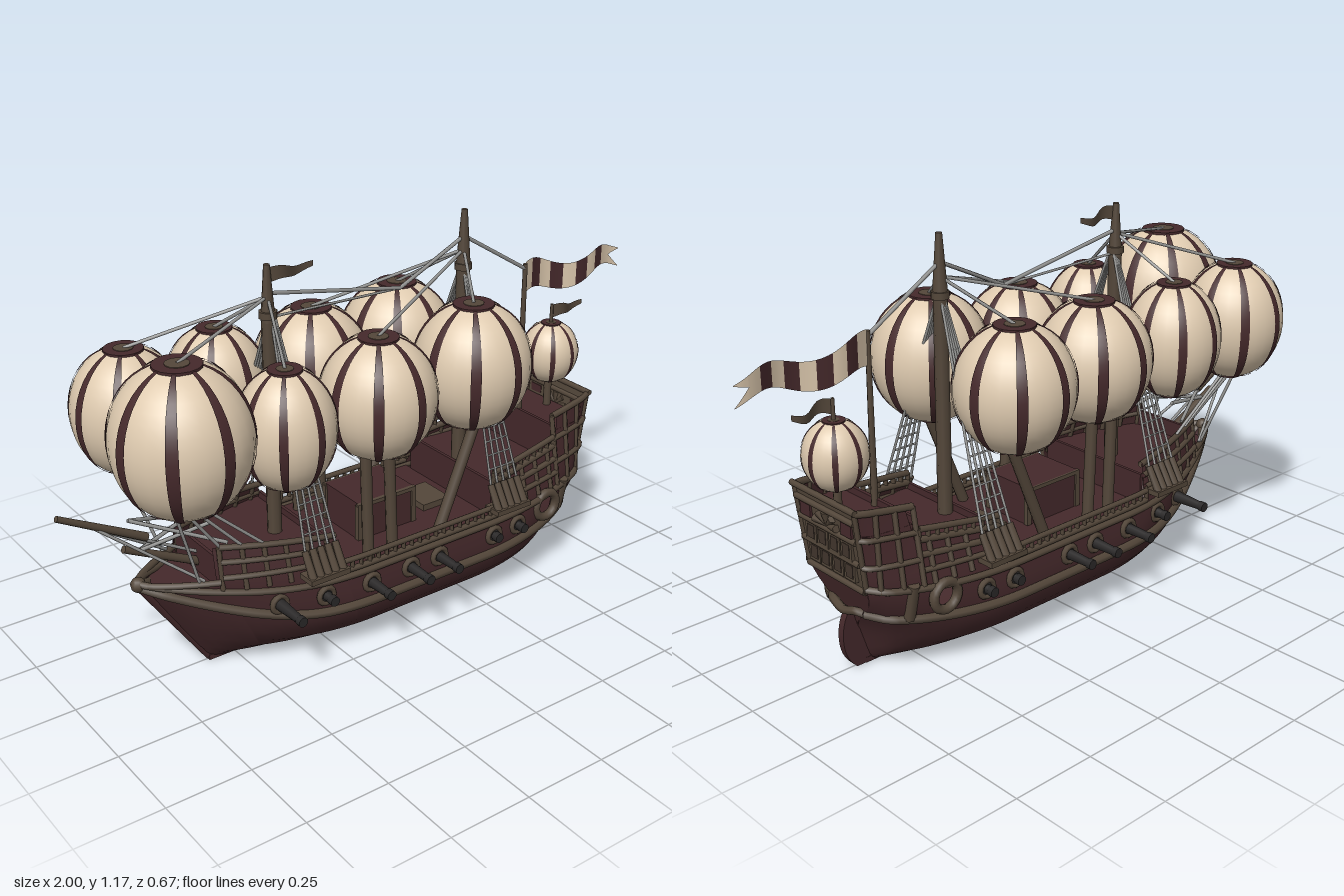
import * as THREE from 'three';

const mat = (name, color, side = THREE.FrontSide) => {
  const m = new THREE.MeshStandardMaterial({ color, side });
  m.name = name;
  return m;
};
const maroon = mat('maroon planks', 0x45292b, THREE.DoubleSide);
const wood = mat('brown wood', 0x54473a, THREE.DoubleSide);
const darkWood = mat('dark wood', 0x41352d);
const cream = mat('cream cloth', 0xdfcbb0, THREE.DoubleSide);
const rope = mat('grey rope', 0x949492);
const iron = mat('black iron', 0x2a2828);

const V = (x, y, z) => new THREE.Vector3(x, y, z);
const clamp = (t) => Math.min(1, Math.max(0, t));
const lerp = THREE.MathUtils.lerp;

// Hull lines: half width by height, ends by height, plan by station u (0 bow, 1 stern)
const widths = [[0, .02], [.012, .075], [.03, .132], [.06, .182], [.1, .218], [.15, .237], [.2, .24], [.3, .225], [.4, .19], [.54, .155], [.7, .15]];
function section(y) {
  const i = Math.max(1, widths.findIndex((p) => p[0] >= y));
  const [a, b] = [widths[i - 1], widths[i]];
  return lerp(a[1], b[1], clamp((y - a[0]) / (b[0] - a[0])));
}
const bowX = (y) => -.585 - .64 * Math.min(y, .33);
const sternX = (y) => (y < .3 ? .62 + .3 * y : .71 + .13 * (y - .3));
const uAt = (x, y) => clamp((x - bowX(y)) / (sternX(y) - bowX(y)));
function halfWidth(u, y) {
  const end = .55 * THREE.MathUtils.smoothstep(y, .1, .28) + 1.2 * Math.max(0, y - .3);
  const s = clamp((u - .68) / .32);
  const bow = Math.sin(Math.PI / 2 * Math.min(1, u / .4)) ** .75;
  return section(y) * bow * (end + (1 - end) * Math.sqrt(1 - s * s));
}
const hullPoint = (u, y, side, out = 0) => V(lerp(bowX(y), sternX(y), u), y, side * (halfWidth(u, y) + out));
const sideAt = (x, y, side, out = 0) => hullPoint(uAt(x, y), y, side, out);
const sweep = (u) => Math.max(0, 1 - u / .3) ** 2;
const rise = (u) => Math.max(0, (u - .7) / .3) ** 2;
const wale = (u) => .167 + .143 * sweep(u) + .03 * rise(u);
const strake = (u) => .265 + .06 * sweep(u) + .035 * rise(u);
// Top edge of the planking, in four stepped lengths: x start, x end, height start, height end
const tops = [[-.79, -.6, .32, .32], [-.595, -.27, .42, .388], [-.265, .3, .285, .285], [.305, .565, .38, .415], [.57, .74, .508, .53]];
function topY(x) {
  const t = tops.find((p) => x <= p[1] + .0026) || tops[4];
  return lerp(t[2], t[3], clamp((x - t[0]) / (t[1] - t[0])));
}

// Grid surface from a point rule; skip leaves cells open
function surface(cols, rows, point, skip = () => false) {
  const pos = [], idx = [], n = rows.length;
  cols.forEach((c) => rows.forEach((r) => pos.push(...point(c, r).toArray())));
  for (let i = 0; i < cols.length - 1; i++) for (let j = 0; j < n - 1; j++) {
    if (skip((cols[i] + cols[i + 1]) / 2, j)) continue;
    const a = i * n + j, b = a + n;
    idx.push(a, b, a + 1, b, b + 1, a + 1);
  }
  const g = new THREE.BufferGeometry();
  g.setAttribute('position', new THREE.Float32BufferAttribute(pos, 3));
  g.setIndex(idx);
  g.computeVertexNormals();
  return g;
}
const range = (a, b, n) => Array.from({ length: n + 1 }, (_, i) => lerp(a, b, i / n));

// Unit balloon outline, swept over part of a turn
const gore = (scale, start, length, segments) => new THREE.LatheGeometry(range(-1.37, 1.26, 18).map((t) =>
  new THREE.Vector2(scale * Math.cos(t) ** .95, scale * Math.sin(t))), segments, start, length);

export function createModel() {
  const root = new THREE.Group();
  root.name = 'balloonShip';
  const add = (name, geo, material, pos, parent = root) => {
    const m = new THREE.Mesh(geo, material);
    m.name = name;
    if (pos) m.position.copy(pos);
    parent.add(m);
    return m;
  };
  const box = (name, w, h, d, x, y, z, m) => add(name, new THREE.BoxGeometry(w, h, d), m, V(x, y, z));
  const bar = (name, a, b, r0, r1, m, sides = 8) => {
    const mesh = add(name, new THREE.CylinderGeometry(r1, r0, a.distanceTo(b), sides), m, a.clone().lerp(b, .5));
    mesh.quaternion.setFromUnitVectors(V(0, 1, 0), b.clone().sub(a).normalize());
    return mesh;
  };
  const line = (a, b, r = .004) => bar('rope', a, b, r, r, rope, 5);
  const tube = (name, pts, r, m) => add(name, new THREE.TubeGeometry(new THREE.CatmullRomCurve3(pts), pts.length * 2, r, 6), m);

  // Planking, with one open round window per side
  const hx = [.482, .538].map((x) => uAt(x, .245));
  const cols = [...range(0, 1, 50), ...hx, ...tops.flatMap((t) => [uAt(t[0], .3), uAt(t[1], .3)])].sort((a, b) => a - b);
  const low = [0, .04, .1, .2, .36, .58, .8, 1], high = [.217, .273, .33, .4, 9];
  const rowIds = range(0, low.length + high.length - 1, low.length + high.length - 1);
  const rowY = (u, j) => (j < low.length ? low[j] * wale(u)
    : Math.max(wale(u), Math.min(topY(lerp(-.777, .71, u)), high[j - low.length])));
  for (const s of [1, -1]) {
    add('hullSide', surface(cols, rowIds, (u, j) => hullPoint(u, rowY(u, j), s),
      (u, j) => j === low.length && u > hx[0] && u < hx[1]), maroon);
    for (const [name, f, r] of [['wale', wale, .015], ['upperStrake', strake, .011]])
      tube(name, range(0, 1, 40).map((u) => hullPoint(u, f(u), s, .002)), r, wood);
    add('roundWindowFrame', new THREE.TorusGeometry(.041, .014, 8, 20), wood, sideAt(.51, .245, s, .003));
    bar('quarterPillar', sideAt(.6, .19, s, .002), sideAt(.6, .3, s, .002), .017, .017, wood);

    // Cap rails and side panelling; the waist and quarterdeck carry balusters
    tops.forEach(([x0, x1, y0, y1], k) => {
      const n = Math.round((x1 - x0) / .03);
      const pts = range(0, 1, n).map((t) => sideAt(lerp(x0, x1, t), lerp(y0, y1, t), s, .002));
      tube('capRail', pts, .01, wood);
      if (k === 2 || k === 3) {
        const up = pts.map((p) => p.clone().add(V(0, .03, 0)));
        tube('handRail', up, .009, wood);
        pts.forEach((p, i) => bar('baluster', p, up[i], .007, .007, wood, 5));
      }
      if (k === 0 || k === 2) return;
      for (const f of [.33, .67])
        tube('panelMoulding', pts.map((p) => sideAt(p.x, lerp(.29, p.y, f), s, .002)), .009, wood);
      pts.forEach((p, i) => i % 2 || bar('sideRib', sideAt(p.x, .29, s, .002), p, .008, .008, wood, 5));
    });

    // Guns and their ports; some run out, some drawn in
    for (const [x, reach] of [[-.45, .3], [-.32, .265], [-.175, .333], [-.035, .333], [.07, .333], [.28, .265], [.38, .265]]) {
      const p = sideAt(x, .225, s, .002);
      add('gunPort', new THREE.TorusGeometry(.024, .009, 6, 12), wood, p);
      add('gunPortLid', new THREE.CylinderGeometry(.024, .024, .008, 12), iron, p).rotation.x = Math.PI / 2;
      bar('gunBarrel', V(x, .225, s * .18), V(x, .225, s * (reach - .01)), .018, .012, iron, 10);
      bar('gunMuzzle', V(x, .225, s * (reach - .018)), V(x, .225, s * reach), .015, .015, iron, 10);
    }

    // Channels, deadeyes and shrouds beside each mast
    for (const mx of [-.335, .33]) {
      box('channel', .13, .016, .06, mx, .312, s * .24, wood);
      const foot = range(-.05, .05, 4).map((d) => V(mx + d, .385, s * .215));
      const head = range(-.006, .006, 4).map((d) => V(mx + d, .99, s * .01));
      foot.forEach((p, i) => {
        bar('deadeye', V(p.x, .315, s * .255), p, .012, .01, wood, 6);
        line(p, head[i]);
      });
      for (const t of range(.07, .85, 12)) line(foot[0].clone().lerp(head[0], t), foot[4].clone().lerp(head[4], t), .003);
    }

    // Struts carrying the middle balloons
    for (const [xa, xb, yb] of [[-.145, -.155, .62], [-.06, -.075, .62], [.11, .245, .6]])
      bar('balloonStrut', V(xa, .27, s * .18), V(xb, yb, s * .18), .017, .017, wood);
  }

  // Decks and the walls between them
  for (const [x0, x1, y] of [[-.74, -.6, .3], [-.6, -.27, .34], [-.27, .3, .268], [.3, .57, .36], [.57, .725, .46]])
    add('deck', surface(range(x0, x1, 12), [-1, 1], (x, s) => sideAt(x, y, s)), maroon);
  for (const [x, y0, y1] of [[-.598, .3, .39], [-.268, .268, .36], [.303, .268, .38], [.57, .36, .48]])
    box('bulkhead', .01, y1 - y0, 2 * sideAt(x, y1, 1).z, x, (y0 + y1) / 2, 0, maroon);
  box('deckHouse', .2, .118, .17, -.01, .327, 0, maroon);
  for (const z of [-.085, .085]) box('deckHouseEave', .21, .012, .012, -.01, .38, z, wood);
  for (const x of [-.108, .088]) for (const z of [-.083, .083]) box('deckHousePost', .016, .11, .016, x, .325, z, wood);
  box('hatch', .1, .02, .12, .2, .28, 0, wood);

  // Transom with two rows of windows
  const cap = (y0, y1, n) => surface(range(y0, y1, n), [1, -1], (y, s) => hullPoint(1, y, s));
  add('sternCounter', cap(0, .29, 12), maroon);
  add('transom', cap(.29, .535, 6), wood);
  tube('sternArch', [hullPoint(1, .197, 1), V(.69, .2, .05), V(.695, .188, 0), V(.69, .2, -.05), hullPoint(1, .197, -1)], .013, wood);
  for (const y of [.343, .407]) for (const z of [-.078, -.026, .026, .078]) {
    const x = sternX(y);
    box('sternWindowFrame', .012, .056, .047, x + .002, y, z, wood);
    box('sternWindow', .008, .038, .03, x + .006, y, z, darkWood);
  }
  for (const [y, w] of [[.292, .25], [.375, .25], [.442, .25], [.5, .26], [.535, .28]])
    bar('transomMoulding', V(sternX(y) + .003, y, -w / 2), V(sternX(y) + .003, y, w / 2), .009, .009, wood);
  for (const z of [-.09, .09]) box('sternPanel', .008, .036, .045, sternX(.47) + .003, .47, z, maroon);
  for (const a of range(.2, Math.PI - .2, 4))
    bar('sternCrest', V(sternX(.45) + .004, .452, 0), V(sternX(.47) + .006, .452 + .04 * Math.sin(a), .05 * Math.cos(a)), .004, .012, wood, 6);

  // Stem, keel, rudder
  bar('stem', V(-.58, .008, 0), V(-.79, .325, 0), .01, .014, maroon);
  add('figurehead', new THREE.SphereGeometry(.022, 10, 8), wood, V(-.785, .318, 0));
  box('keel', 1.22, .016, .024, .025, .009, 0, maroon);
  const r = new THREE.Shape().moveTo(.58, .002).lineTo(.665, .002);
  r.quadraticCurveTo(.71, .04, .708, .11).quadraticCurveTo(.705, .17, .67, .195).lineTo(.58, .195);
  add('rudder', new THREE.ExtrudeGeometry(r, { depth: .022, bevelEnabled: false }), maroon, V(0, 0, -.011));

  // Masts, pole and bowsprit
  const masts = [[-.345, 1.14], [.33, 1.17]];
  for (const [x, y] of masts) {
    bar('mast', V(x, .26, 0), V(x, y - .15, 0), .022, .02, wood);
    bar('topMast', V(x, y - .16, 0), V(x, y, 0), .021, .009, wood);
    add('mastBand', new THREE.CylinderGeometry(.026, .026, .02, 10), wood, V(x, 1, 0));
  }
  bar('flagPole', V(.575, .46, 0), V(.575, .955, 0), .01, .007, wood);
  bar('bowsprit', V(-.52, .29, 0), V(-.82, .44, 0), .014, .011, wood);
  bar('jibBoom', V(-.75, .455, 0), V(-1, .59, 0), .013, .009, wood);
  for (const s of [1, -1]) {
    line(V(-.8, .52, 0), V(-.56, .42, s * .1), .006);
    line(V(-.78, .42, 0), V(-.58, .46, s * .04), .006);
    line(V(-.9, .53, 0), sideAt(-.64, .33, s), .005);
  }
  line(V(-.98, .575, 0), V(-.6, .36, 0), .005);

  // Stays
  line(V(-.345, 1.06, 0), V(.1, .98, 0), .006);
  line(V(.1, .98, 0), V(.33, 1.09, 0), .006);
  line(V(-.345, .99, 0), V(.1, .98, 0));
  line(V(.33, 1.09, 0), V(.575, .94, 0), .006);

  // Balloons: x, centre height, z, radius, half height
  const balloon = ([x, y, z, rad, ry]) => {
    const g = new THREE.Group();
    g.name = 'balloon';
    g.position.set(x, y, z);
    g.scale.set(rad, ry, rad);
    root.add(g);
    add('envelope', gore(1, 0, Math.PI * 2, 32), cream, null, g);
    for (let i = 0; i < 8; i++) add('stripe', gore(1.018, i * Math.PI / 4 + .07, .175, 3), maroon, null, g);
    for (const [h, wide] of [[.965, .35], [-.985, .24]]) {
      add('cap', new THREE.CylinderGeometry(wide, wide, .035, 16), maroon, V(0, h, 0), g);
      add('capDisc', new THREE.CylinderGeometry(wide / 2, wide / 2, .03, 12), wood, V(0, h * 1.012, 0), g);
    }
  };
  const balloons = [
    [-.69, .773, .118, .19, .214], [-.69, .75, -.176, .157, .182],
    [-.402, .742, .165, .136, .174], [-.41, .75, -.178, .146, .177],
    [-.083, .743, .142, .166, .181], [-.107, .748, -.148, .171, .182],
    [.238, .765, .16, .171, .19], [.212, .75, -.165, .171, .184],
  ];
  for (const b of balloons) {
    balloon(b);
    const [x, y, z, , ry] = b;
    const m = masts[x < -.2 ? 0 : 1];
    line(V(m[0], 1.05, 0), V(x, y + ry * .98, z), .005);
    // The bow pair is held down by mooring lines
    if (x < -.6) for (const d of [-.08, -.02, .04, .1])
      line(V(x + d * .4, y - ry * .96, z), sideAt(x + d + .12, topY(x + d + .12), Math.sign(z)), .005);
  }
  balloon([.695, .643, 0, .089, .099]);
  bar('sternBalloonPost', V(.695, .46, 0), V(.695, .56, 0), .012, .012, wood);
  bar('sternFlagPole', V(.695, .73, 0), V(.695, .8, 0), .006, .005, wood);

  // Striped streamer with a forked end, and two pennants
  const wave = (t) => V(.58 + .418 * t, .895 + .018 * Math.sin(t * 9 + .9), .018 * Math.sin(t * 9 + 2.6) - .012);
  for (let i = 0; i < 9; i++)
    add('streamerStripe', surface(range(i / 10, (i + 1) / 10, 4), [-1, 1],
      (t, s) => wave(t).add(V(0, s * lerp(.05, .028, t), 0))), i % 2 ? maroon : cream);
  for (const s of [-1, 1])
    add('streamerTail', surface(range(.9, 1, 4), [0, 1],
      (t, e) => wave(t).add(V(0, s * lerp((t - .9) * .28, .03, e), 0))), cream);
  for (const [x, y, len] of [[-.345, 1.108, .15], [.695, .775, .13]])
    add('pennant', surface(range(0, 1, 10), [-1, 1],
      (t, s) => V(x + len * t, y + .007 * Math.sin(t * 7) + s * lerp(.022, .008, t), .012 * Math.sin(t * 6))), wood);

  return root;
}
